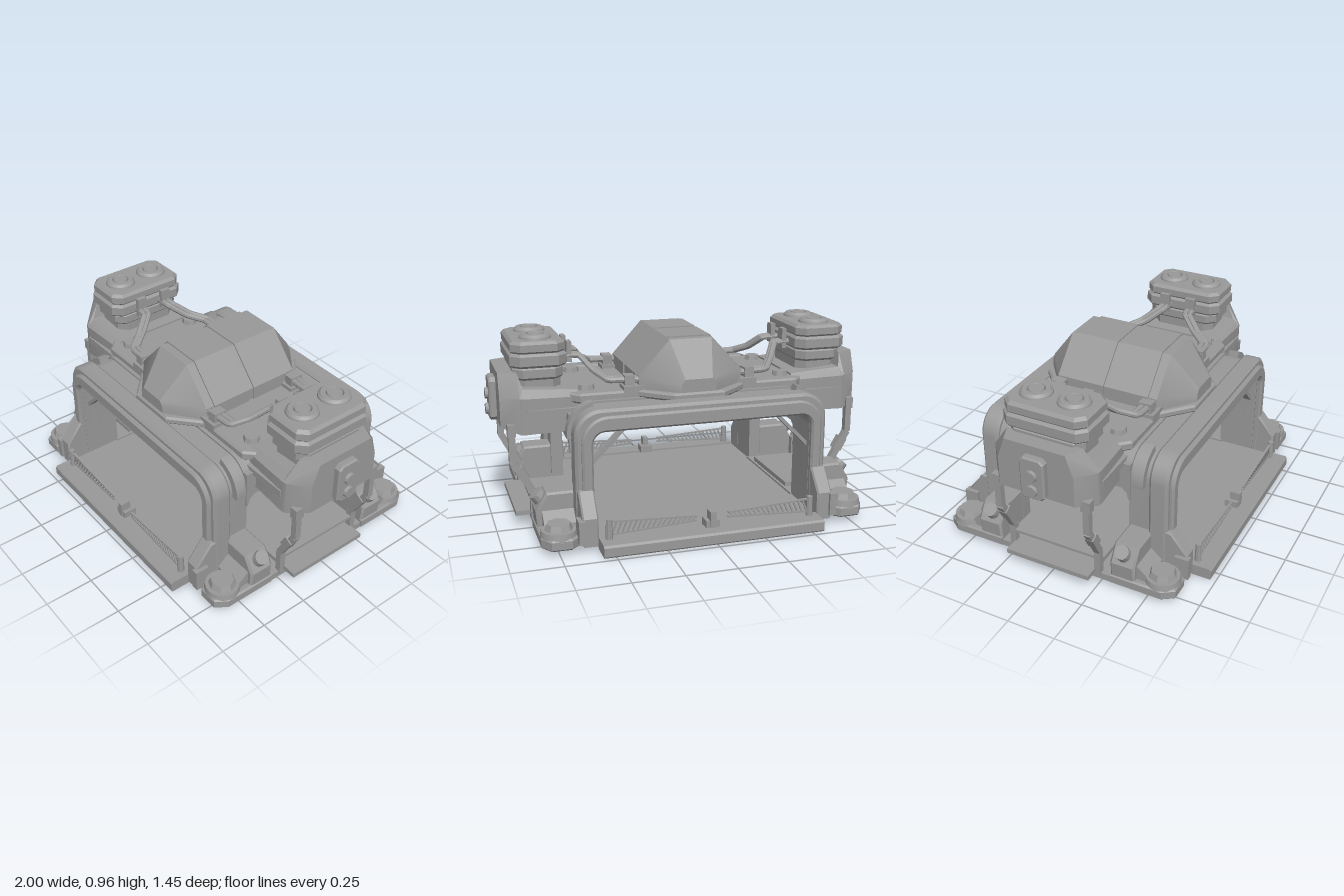
import * as THREE from 'three';
import { toCreasedNormals } from 'three/addons/utils/BufferGeometryUtils.js';

const V = (x, y, z) => new THREE.Vector3(x, y, z);

// Mirror a geometry and restore its corner order
function mirrored(geo, sx, sz) {
  const g = geo.clone().applyMatrix4(new THREE.Matrix4().makeScale(sx, 1, sz));
  if (sx * sz < 0) {
    for (const a of Object.values(g.attributes)) {
      const n = a.itemSize;
      for (let i = 0; i < a.count; i += 3)
        for (let k = 0; k < n; k++) {
          const p = (i + 1) * n + k, q = (i + 2) * n + k, t = a.array[p];
          a.array[p] = a.array[q];
          a.array[q] = t;
        }
    }
  }
  return g;
}

function box(x0, x1, y0, y1, z0, z1) {
  return new THREE.BoxGeometry(x1 - x0, y1 - y0, z1 - z0)
    .translate((x0 + x1) / 2, (y0 + y1) / 2, (z0 + z1) / 2);
}

function shapeOf(pts) {
  return new THREE.Shape(pts.map(p => new THREE.Vector2(p[0], p[1])));
}

function extrude(shape, depth, bevel = 0) {
  return new THREE.ExtrudeGeometry(shape, {
    depth: depth - 2 * bevel, bevelEnabled: bevel > 0, bevelThickness: bevel,
    bevelSize: bevel, bevelOffset: -bevel, bevelSegments: 1, curveSegments: 6,
  }).translate(0, 0, bevel);
}

// Outline in (z, y), extruded along x
const sideExt = (pts, x0, x1, bevel = 0) =>
  extrude(shapeOf(pts.map(([z, y]) => [-z, y])), x1 - x0, bevel).rotateY(Math.PI / 2).translate(x0, 0, 0);

// Outline in (x, z), extruded along y
const topExt = (pts, y0, y1, bevel = 0) =>
  extrude(shapeOf(pts.map(([x, z]) => [x, -z])), y1 - y0, bevel).rotateX(-Math.PI / 2).translate(0, y0, 0);

// Rectangle with cut corners
function octagon(cx, cz, hx, hz, c) {
  const q = [[hx, hz - c], [hx - c, hz], [c - hx, hz], [-hx, hz - c],
    [-hx, c - hz], [c - hx, -hz], [hx - c, -hz], [hx, c - hz]];
  return q.map(([x, z]) => [cx + x, cz + z]);
}

// Closed skin through equal-length rings of [x, y, z]
function loft(rings) {
  const tris = [], n = rings[0].length;
  for (let r = 0; r + 1 < rings.length; r++)
    for (let i = 0; i < n; i++) {
      const j = (i + 1) % n, a = rings[r], b = rings[r + 1];
      tris.push([a[i], a[j], b[j]], [a[i], b[j], b[i]]);
    }
  const first = rings[0], last = rings[rings.length - 1];
  for (let i = 1; i + 1 < n; i++)
    tris.push([first[0], first[i + 1], first[i]], [last[0], last[i], last[i + 1]]);
  let vol = 0;
  for (const [a, b, c] of tris) vol += V(...a).dot(V(...b).cross(V(...c)));
  if (vol < 0) tris.forEach(t => t.reverse());
  const g = new THREE.BufferGeometry();
  g.setAttribute('position', new THREE.Float32BufferAttribute(tris.flat(2), 3));
  g.computeVertexNormals();
  return g;
}

const cyl = (x, y0, y1, z, r0, r1 = r0, n = 20) =>
  new THREE.CylinderGeometry(r1, r0, y1 - y0, n).translate(x, (y0 + y1) / 2, z);

// Bar or rod between two points
function beam(a, b, w, d = w, round = false) {
  const dir = b.clone().sub(a), len = dir.length();
  const g = round ? new THREE.CylinderGeometry(d, w, len, 12) : new THREE.BoxGeometry(w, len, d);
  g.applyQuaternion(new THREE.Quaternion().setFromUnitVectors(V(0, 1, 0), dir.normalize()));
  return g.translate((a.x + b.x) / 2, (a.y + b.y) / 2, (a.z + b.z) / 2);
}

// Tunnel arch, open at the bottom
function arch(w, top, y0, z0, z1, bevel = 0) {
  const r = 0.13, s = new THREE.Shape();
  s.moveTo(w, y0).lineTo(w, top - r);
  s.absarc(w - r, top - r, r, 0, Math.PI / 2, false);
  s.lineTo(r - w, top);
  s.absarc(r - w, top - r, r, Math.PI / 2, Math.PI, false);
  s.lineTo(-w, y0).lineTo(-0.56, y0).lineTo(-0.56, 0.5);
  s.absarc(-0.5, 0.5, 0.06, Math.PI, Math.PI / 2, true);
  s.lineTo(0.5, 0.56);
  s.absarc(0.5, 0.5, 0.06, Math.PI / 2, 0, true);
  s.lineTo(0.56, y0);
  return extrude(s, z1 - z0, bevel).translate(0, 0, z0);
}

export function createModel() {
  const root = new THREE.Group();
  root.name = 'gateStation';
  const grey = new THREE.MeshStandardMaterial({ color: 0x999999 });
  grey.name = 'grey';

  // mirror: any of 'x' and 'z'
  function add(name, geo, mirror = '') {
    const g = toCreasedNormals(geo.index ? geo.toNonIndexed() : geo, 0.5);
    for (const sx of mirror.includes('x') ? [1, -1] : [1])
      for (const sz of mirror.includes('z') ? [1, -1] : [1]) {
        const m = new THREE.Mesh(mirrored(g, sx, sz), grey);
        m.name = name;
        root.add(m);
      }
  }

  // Floor and thresholds
  add('floor', box(-0.56, 0.56, 0.012, 0.055, -0.62, 0.62));
  add('threshold', sideExt([[0.61, 0.005], [0.72, 0.005], [0.725, 0.012], [0.725, 0.055], [0.715, 0.065], [0.61, 0.065]], -0.56, 0.56), 'z');

  // Tunnel shell
  add('archCollar', arch(0.625, 0.645, 0.03, 0.31, 0.44), 'z');
  add('archBand', arch(0.645, 0.665, 0.03, 0.42, 0.52, 0.014), 'z');
  add('archLip', arch(0.615, 0.635, 0.03, 0.5, 0.54, 0.01), 'z');
  add('roof', arch(0.63, 0.655, 0.48, -0.32, 0.32));
  add('roofDeck', topExt(octagon(0, 0, 0.62, 0.3, 0.05), 0.64, 0.69, 0.01));
  add('sideWall', sideExt([[-0.32, 0.6], [-0.32, 0.4], [-0.31, 0.4], [-0.3, 0.44], [-0.27, 0.46],
    [0.27, 0.46], [0.3, 0.44], [0.31, 0.4], [0.32, 0.4], [0.32, 0.6]], 0.56, 0.635), 'x');
  add('legFlare', sideExt([[0.45, 0.03], [0.63, 0.03], [0.63, 0.17], [0.54, 0.28], [0.45, 0.28]], 0.562, 0.64, 0.008), 'xz');
  add('cornerBrace', beam(V(0.385, 0.565, 0.46), V(0.565, 0.385, 0.46), 0.018, 0.04), 'xz');
  const clamp = new THREE.Shape();
  clamp.absarc(0.495, 0.515, 0.165, -0.1, 1.35, false);
  clamp.absarc(0.495, 0.515, 0.12, 1.35, -0.1, true);
  add('archClamp', extrude(clamp, 0.055).translate(0, 0, 0.345), 'xz');

  // Feet
  const footPlan = [[0.62, 0.31], [0.83, 0.31], [0.83, 0.58], [0.79, 0.64], [0.69, 0.64], [0.65, 0.6], [0.62, 0.6]];
  add('foot', topExt(footPlan, 0.03, 0.085, 0.008), 'xz');
  add('footPad', cyl(0.74, 0.07, 0.11, 0.55, 0.092, 0.085), 'xz');
  add('footBolt', cyl(0.74, 0.11, 0.14, 0.55, 0.07, 0.058, 8), 'xz');
  add('toePost', box(0.625, 0.66, 0.05, 0.165, 0.57, 0.645), 'xz');
  const ankle = shapeOf([[0.62, 0.03], [0.82, 0.03], [0.83, 0.16], [0.775, 0.25], [0.62, 0.25]]);
  add('ankle', extrude(ankle, 0.13, 0.01).translate(0, 0, 0.31), 'xz');
  add('ankleStep', sideExt([[0.42, 0.05], [0.5, 0.05], [0.5, 0.11], [0.42, 0.18]], 0.63, 0.8), 'xz');
  add('ankleBolt', beam(V(0.77, 0.18, 0.37), V(0.82, 0.235, 0.37), 0.044, 0.036, true), 'xz');

  // Side platforms
  add('sideSill', box(0.55, 0.82, 0.03, 0.065, -0.32, 0.32), 'x');
  add('sideStep', box(0.56, 0.9, 0.068, 0.092, -0.23, 0.23), 'x');
  add('sideRail', box(0.8, 0.825, 0.148, 0.163, -0.23, 0.23), 'x');

  // Side pods
  const podRing = (x, h, ht, yb, ys, yt) =>
    [[x, yb, -h], [x, yb, h], [x, ys, h], [x, yt, ht], [x, yt, -ht], [x, ys, -h]];
  add('pod', loft([
    podRing(0.57, 0.26, 0.23, 0.5, 0.67, 0.7), podRing(0.84, 0.28, 0.24, 0.5, 0.68, 0.72),
    podRing(0.86, 0.275, 0.2, 0.5, 0.68, 0.79), podRing(0.95, 0.2, 0.16, 0.525, 0.68, 0.79)]), 'x');
  add('podSlot', box(0.52, 0.83, 0.585, 0.62, 0.24, 0.285), 'xz');
  add('podPlate', sideExt(octagon(0, 0.635, 0.065, 0.11, 0.02), 0.93, 0.985, 0.008), 'x');
  for (const y of [0.575, 0.655])
    add('podButton', beam(V(0.98, y, 0), V(1, y, 0), 0.033, 0.028, true), 'x');

  // Turrets on the pods
  const tiers = [[0.68, 0.77, 0.115, 0.18, 0], [0.75, 0.815, 0.125, 0.2, 0.012],
    [0.815, 0.885, 0.14, 0.225, 0.012], [0.88, 0.945, 0.135, 0.218, 0.015]];
  for (const [y0, y1, hx, hz, bevel] of tiers)
    add('turretTier', topExt(octagon(0.75, 0, hx, hz, 0.045), y0, y1, bevel), 'x');
  add('turretCap', new THREE.LatheGeometry([[0.082, 0.94], [0.078, 0.955], [0.066, 0.967], [0.045, 0.967],
    [0.04, 0.955], [0.036, 0.967], [0, 0.967]].map(p => new THREE.Vector2(...p)), 24).translate(0.75, 0, 0.1), 'xz');

  // Struts under the pods
  const strut = [V(0.905, 0.53, 0.24), V(0.905, 0.36, 0.24), V(0.86, 0.28, 0.24), V(0.81, 0.19, 0.24), V(0.81, 0.05, 0.24)];
  for (let i = 0; i < 4; i++) add('strut', beam(strut[i], strut[i + 1], 0.033), 'xz');
  add('strutJoint', beam(V(0.88, 0.325, 0.24), V(0.845, 0.262, 0.24), 0.046), 'xz');
  add('strutBracket', box(0.885, 0.925, 0.49, 0.55, 0.215, 0.265), 'xz');

  // Central housing
  const hullRing = (z, w, wt, yb, ys, yt) =>
    [[-w, yb, z], [w, yb, z], [w, ys, z], [wt, yt, z], [-wt, yt, z], [-w, ys, z]];
  const hull = [0.27, 0.11, 0.66, 0.755, 0.93];
  const nose = [0.09, 0.07, 0.67, 0.73, 0.755];
  add('housing', loft([hullRing(-0.42, ...nose), hullRing(-0.28, ...hull),
    hullRing(0.28, ...hull), hullRing(0.42, ...nose)]));
  add('housingPanel', loft([0.015, 0.235].map(z => hullRing(z, 0.277, 0.115, 0.66, 0.76, 0.937))), 'z');
  add('housingSkirt', topExt([[0.31, -0.27], [0.31, 0.27], [0.13, 0.43], [-0.13, 0.43], [-0.31, 0.27],
    [-0.31, -0.27], [-0.13, -0.43], [0.13, -0.43]], 0.65, 0.69, 0.01));
  add('housingFoot', box(0.13, 0.35, 0.66, 0.71, 0.2, 0.3), 'xz');
  add('roofBolt', cyl(0.52, 0.68, 0.715, 0.2, 0.045, 0.038, 8), 'xz');

  // Twin pipes from the turrets to the housing
  for (const d of [-0.014, 0.014]) {
    const run = [V(0.63, 0.845, 0.075 + d), V(0.53, 0.84, 0.08 + d), V(0.475, 0.775, 0.16 + d),
      V(0.42, 0.74, 0.24 + d), V(0.25, 0.735, 0.25 + d)];
    const path = new THREE.CurvePath();
    for (let i = 0; i < 4; i++) path.add(new THREE.LineCurve3(run[i], run[i + 1]));
    add('pipe', new THREE.TubeGeometry(path, 28, 0.016, 8), 'xz');
  }
  add('pipeBracket', box(0.57, 0.595, 0.81, 0.915, 0.05, 0.105), 'xz');
  add('pipeSleeve', beam(V(0.29, 0.735, 0.25), V(0.34, 0.736, 0.248), 0.05, 0.07), 'xz');

  // Slatted guards on the thresholds
  add('guardPost', cyl(0.515, 0.06, 0.165, 0.635, 0.018, 0.015, 10), 'xz');
  add('guardHinge', box(-0.035, 0.035, 0.06, 0.1, 0.58, 0.65), 'z');
  add('guardHingePin', box(-0.015, 0.015, 0.06, 0.145, 0.6, 0.655), 'z');
  const upper = t => 0.13 + 0.022 * t, lower = t => 0.108 - 0.022 * t;
  const guardX = t => 0.08 + 0.42 * t;
  for (const f of [upper, lower])
    add('guardRail', beam(V(guardX(0), f(0), 0.635), V(guardX(1), f(1), 0.635), 0.008, 0.012), 'xz');
  for (let i = 0; i <= 16; i++) {
    const t = i / 17;
    add('guardSlat', beam(V(guardX(t + 1 / 17), lower(t), 0.635), V(guardX(t), upper(t), 0.635), 0.008, 0.008), 'xz');
  }
  return root;
}
